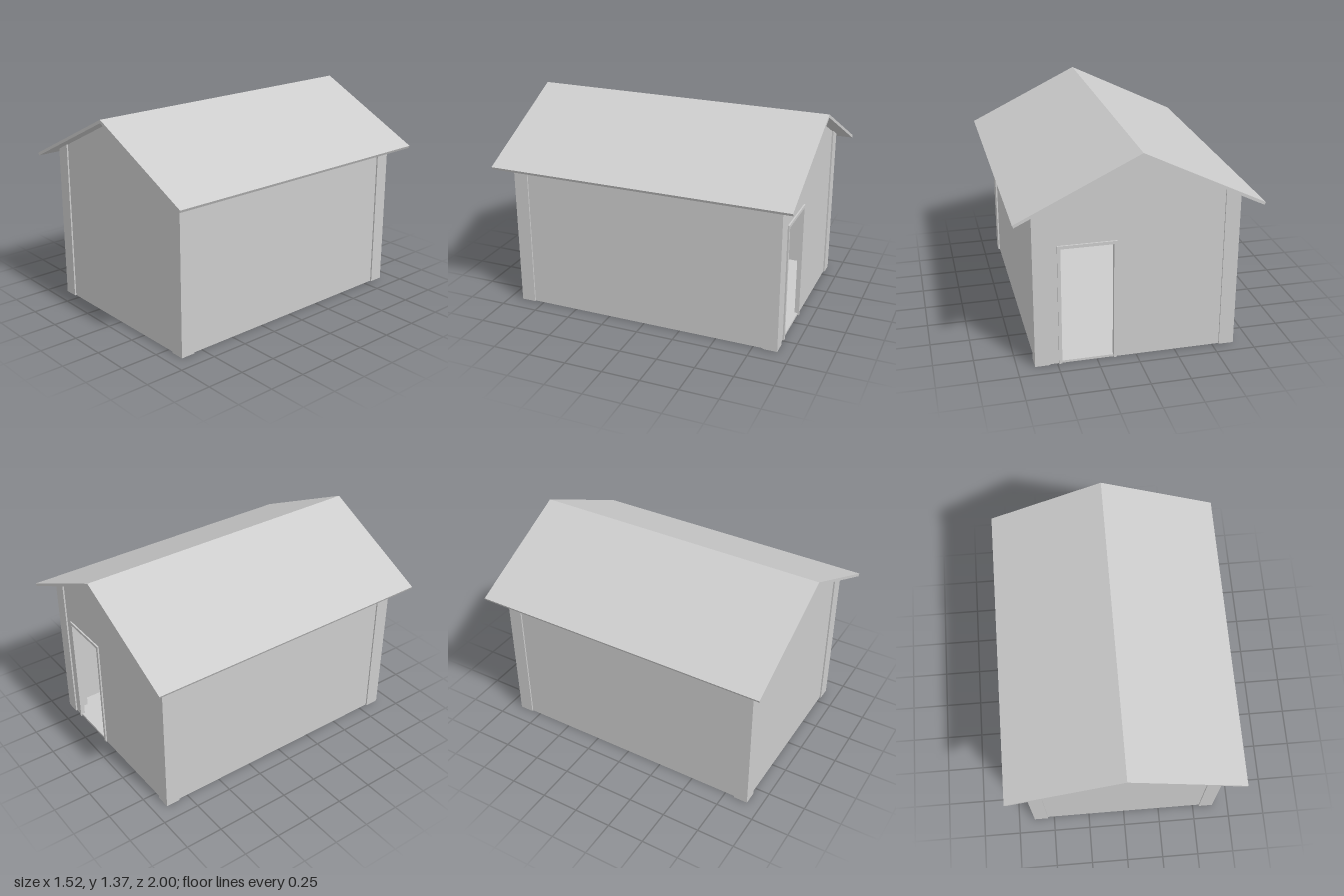
import * as THREE from 'three';

const grey = new THREE.MeshStandardMaterial({ color: 0xcccccc });
grey.name = 'plain grey';

const SLOPE = 0.487;
const under = (x) => 1.344 - SLOPE * Math.abs(x); // underside of the roof

export function createModel() {
  const shed = new THREE.Group();
  shed.name = 'shed';

  const add = (name, geometry) => {
    const mesh = new THREE.Mesh(geometry, grey);
    mesh.name = name;
    shed.add(mesh);
  };
  // box from its two extreme corners
  const box = (name, x0, x1, y0, y1, z0, z1) => {
    const g = new THREE.BoxGeometry(Math.abs(x1 - x0), y1 - y0, Math.abs(z1 - z0));
    add(name, g.translate((x0 + x1) / 2, (y0 + y1) / 2, (z0 + z1) / 2));
  };
  // outline in the x-y plane, extended from z0 to z1
  const prism = (name, points, z0, z1) => {
    const shape = new THREE.Shape(points.map(([x, y]) => new THREE.Vector2(x, y)));
    const g = new THREE.ExtrudeGeometry(shape, { depth: z1 - z0, bevelEnabled: false });
    add(name, g.translate(0, 0, z0));
  };

  box('floor', -0.63, 0.63, 0, 0.015, -0.9, 0.9);

  // gable walls, the back one with a doorway
  const W = 0.63;
  const gableTop = [[W, under(W)], [0, under(0)], [-W, under(W)]];
  prism('frontWall', [[-W, 0], [W, 0], ...gableTop], 0.885, 0.9);
  const d0 = 0.145, d1 = 0.47, dTop = 0.775;
  prism('backWall', [[-W, 0], [d0, 0], [d0, dTop], [d1, dTop], [d1, 0], [W, 0], ...gableTop], -0.9, -0.885);

  // door frame
  box('doorJamb', d0 - 0.02, d0, 0, dTop, -0.91, -0.88);
  box('doorJamb', d1, d1 + 0.02, 0, dTop, -0.91, -0.88);
  box('doorLintel', d0 - 0.02, d1 + 0.02, dTop, dTop + 0.02, -0.91, -0.88);

  for (const s of [-1, 1]) {
    const side = (points) => points.map(([x, y]) => [s * x, y]);

    // long wall
    prism('sideWall', side([[0.615, 0], [W, 0], [W, under(W)], [0.615, under(0.615)]]), -0.9, 0.9);

    // corner posts, cut to the roof slope
    const post = side([[0.545, 0], [0.64, 0], [0.64, under(0.64)], [0.545, under(0.545)]]);
    prism('cornerPost', post, 0.815, 0.91);
    prism('cornerPost', post, -0.91, -0.815);

    // roof slab with a square-cut eave
    prism('roofSlab', side([[0, 1.344], [0.752, 0.978], [0.76, 0.995], [0, 1.365]]), -1, 1);

    // inner timber: wall plate, purlin, studs and rafters
    prism('wallPlate', side([[0.555, 0.97], [0.615, 0.97], [0.615, under(0.615)], [0.555, 1.06]]), -0.885, 0.885);
    prism('purlin', side([[0.27, 1.14], [0.33, 1.14], [0.33, under(0.33)], [0.27, under(0.27)]]), -0.885, 0.885);
    for (const z of [-0.3, 0.3]) {
      box('stud', s * 0.555, s * 0.615, 0.015, 0.97, z - 0.035, z + 0.035);
      prism('rafter', side([[0, 1.284], [0.6, under(0.6) - 0.06], [0.6, under(0.6)], [0, 1.344]]), z - 0.035, z + 0.035);
    }
  }
  prism('ridgeBeam', [[-0.03, 1.26], [0.03, 1.26], [0.03, under(0.03)], [0, under(0)], [-0.03, under(0.03)]], -0.885, 0.885);

  return shed;
}
